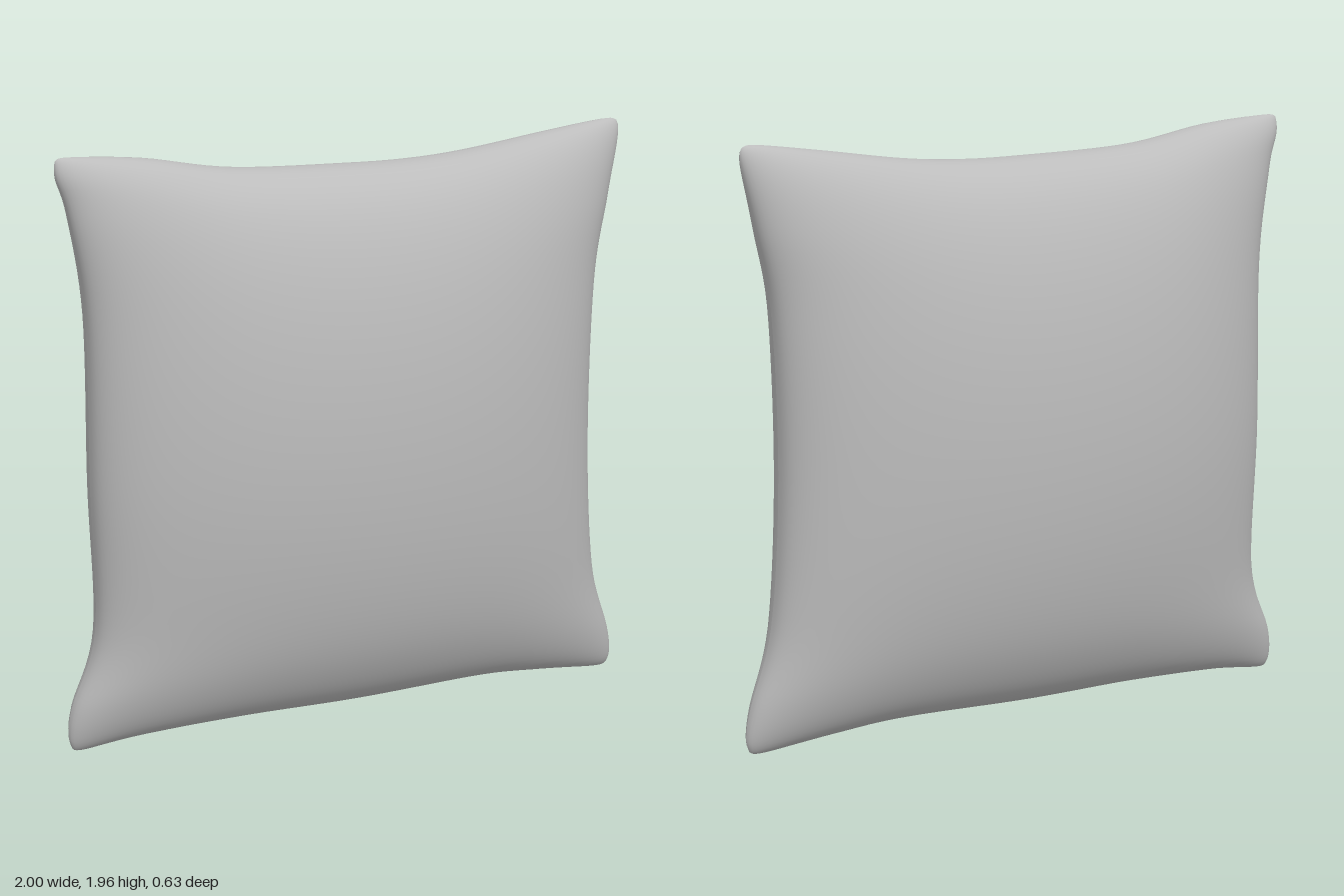
import * as THREE from 'three';

// Outline of the cushion: four seams, left to right and bottom to top
const seam = (...pts) => new THREE.SplineCurve(pts.map(([x, y]) => new THREE.Vector2(x, y)));
const TL = [-0.985, 1.955], TR = [0.968, 1.952], BL = [-0.988, 0.012], BR = [0.988, 0.012];
const top = seam(TL, [-0.94, 1.965], [-0.7, 1.945], [-0.4, 1.893], [0, 1.877], [0.22, 1.877], [0.42, 1.892], [0.7, 1.932], [0.92, 1.96], TR);
const bottom = seam(BL, [-0.95, 0.006], [-0.75, 0.03], [-0.4, 0.044], [0, 0.042], [0.45, 0.05], [0.7, 0.032], [0.94, 0.004], BR);
const left = seam(BL, [-1, 0.06], [-0.985, 0.16], [-0.9, 0.41], [-0.903, 0.9], [-0.903, 1.45], [-0.95, 1.78], [-0.985, 1.9], TL);
const right = seam(BR, [0.998, 0.06], [0.98, 0.16], [0.903, 0.42], [0.868, 0.9], [0.88, 1.42], [0.93, 1.7], [0.972, 1.9], TR);

const SEGMENTS = 56;
const DEPTH = 0.316;

// Point inside the outline, blended from the four seams
function blend(s, t) {
  const b = bottom.getPointAt(s), u = top.getPointAt(s);
  const l = left.getPointAt(t), r = right.getPointAt(t);
  const mix = (i, k) =>
    (1 - t) * b[k] + t * u[k] + (1 - s) * l[k] + s * r[k] -
    (1 - s) * (1 - t) * BL[i] - s * (1 - t) * BR[i] - (1 - s) * t * TL[i] - s * t * TR[i];
  return [mix(0, 'x'), mix(1, 'y')];
}

// Steep at the seam, flat in the middle
const swell = (a) => Math.pow(Math.max(0, 1 - a * a), 0.46);

// One puffed half; side is 1 for front, -1 for back
function panel(side) {
  const geo = new THREE.PlaneGeometry(2, 2, SEGMENTS, SEGMENTS);
  const pos = geo.attributes.position;
  for (let i = 0; i < pos.count; i++) {
    // Rows crowd toward the seams, where the curvature is strongest
    const u = side * Math.sin(pos.getX(i) * Math.PI / 2);
    const v = Math.sin(pos.getY(i) * Math.PI / 2);
    const [x, y] = blend((u + 1) / 2, (v + 1) / 2);
    pos.setXYZ(i, x, y, side * DEPTH * swell(u) * swell(v));
  }
  geo.computeVertexNormals();
  return geo;
}

export function createModel() {
  const group = new THREE.Group();
  group.name = 'cushion';
  const fabric = new THREE.MeshStandardMaterial({ color: 0xbcbcbc });
  fabric.name = 'grey fabric';
  for (const [name, side] of [['frontPanel', 1], ['backPanel', -1]]) {
    const mesh = new THREE.Mesh(panel(side), fabric);
    mesh.name = name;
    group.add(mesh);
  }
  return group;
}
